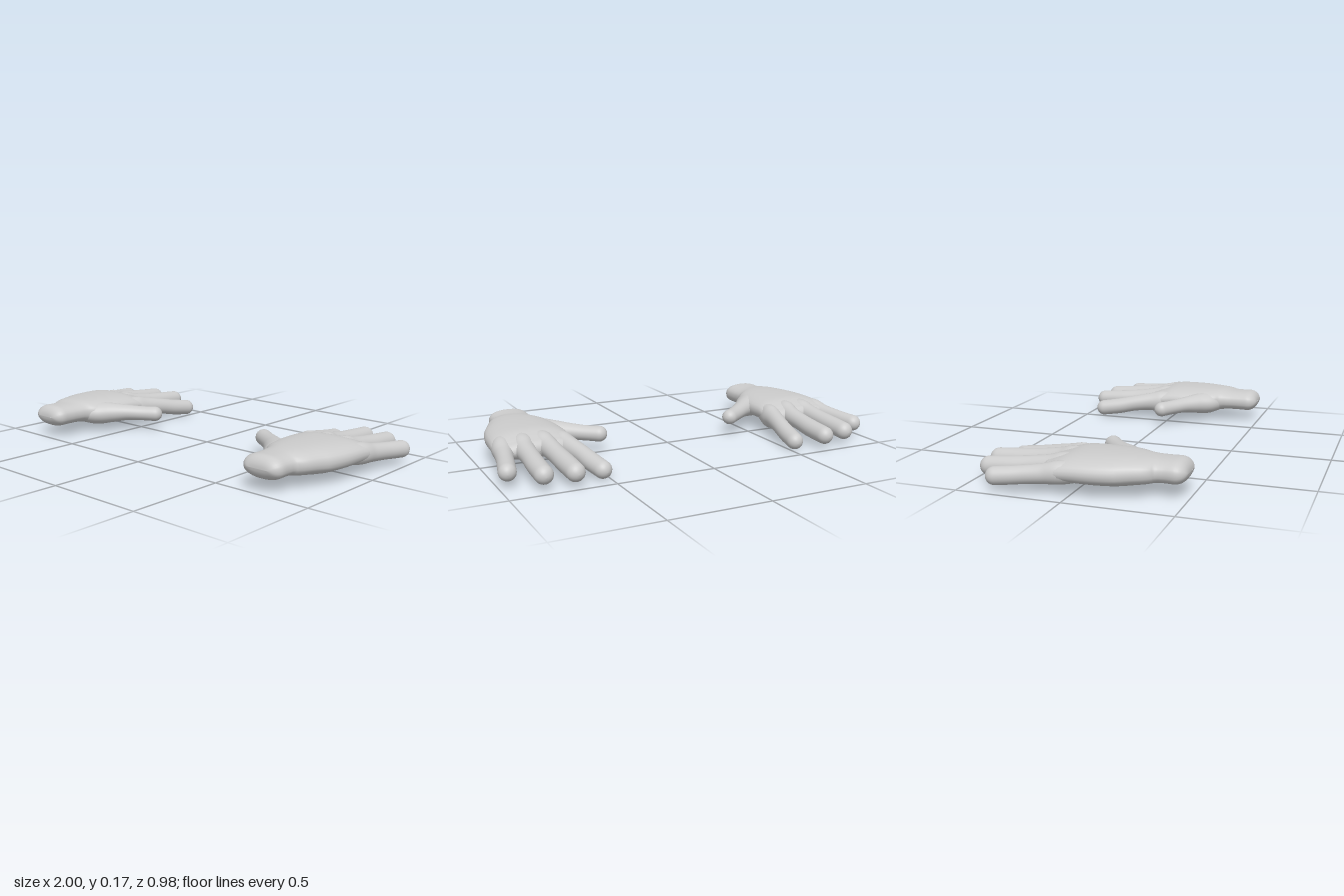
import * as THREE from 'three';

const SIDES = 32, STEPS = 40, CAP = 8;

// Smooth tube through sections [x, y, z, halfWidth, halfHeight] with rounded ends.
// power 2 gives ellipses, higher values squarer sections; mirror = -1 flips x.
function loft(sections, power, mirror) {
  const path = new THREE.CatmullRomCurve3(
    sections.map(([x, y, z]) => new THREE.Vector3(x * mirror, y, z)), false, 'catmullrom');
  const size = new THREE.CatmullRomCurve3(
    sections.map(([, , , w, h]) => new THREE.Vector3(w, h, 0)), false, 'catmullrom');
  const up = new THREE.Vector3(0, 1, 0);
  const positions = [], index = [];
  const bend = (v) => Math.sign(v) * Math.abs(v) ** (2 / power);

  // One ring: slide moves it along the path, inset shrinks it
  function ring(t, slide = 0, inset = 0) {
    const tangent = path.getTangent(t);
    const side = up.clone().cross(tangent).normalize();
    const top = tangent.clone().cross(side);
    const centre = path.getPoint(t).addScaledVector(tangent, slide);
    const s = size.getPoint(t);
    for (let j = 0; j < SIDES; j++) {
      const a = (j / SIDES) * Math.PI * 2;
      const p = centre.clone()
        .addScaledVector(side, bend(Math.cos(a)) * (s.x - inset))
        .addScaledVector(top, bend(Math.sin(a)) * (s.y - inset));
      positions.push(p.x, p.y, p.z);
    }
  }

  // Quarter-round cap, body, quarter-round cap
  function capRing(t, k, direction) {
    const s = size.getPoint(t), r = Math.min(s.x, s.y) * 0.999;
    const a = (k / CAP) * Math.PI / 2;
    ring(t, direction * r * Math.sin(a), r * (1 - Math.cos(a)));
  }
  for (let k = CAP; k > 0; k--) capRing(0, k, -1);
  for (let i = 0; i <= STEPS; i++) ring(i / STEPS);
  for (let k = 1; k <= CAP; k++) capRing(1, k, 1);

  const rings = positions.length / 3 / SIDES;
  for (let i = 0; i < rings - 1; i++) {
    for (let j = 0; j < SIDES; j++) {
      const n = (j + 1) % SIDES;
      const a = i * SIDES + j, b = i * SIDES + n, c = a + SIDES, d = b + SIDES;
      index.push(a, b, d, a, d, c);
    }
  }
  const geometry = new THREE.BufferGeometry();
  geometry.setAttribute('position', new THREE.Float32BufferAttribute(positions, 3));
  geometry.setIndex(index);
  geometry.computeVertexNormals();
  return geometry;
}

// Wrist to knuckles
const palm = [
  [0.727, 0.11, 0.435, 0.105, 0.055],
  [0.727, 0.11, 0.385, 0.105, 0.054],
  [0.73, 0.11, 0.34, 0.112, 0.055],
  [0.74, 0.11, 0.28, 0.143, 0.062],
  [0.742, 0.107, 0.2, 0.176, 0.068],
  [0.748, 0.107, 0.1, 0.194, 0.068],
  [0.752, 0.107, 0, 0.199, 0.064],
  [0.752, 0.102, -0.06, 0.2, 0.055],
  [0.752, 0.097, -0.1, 0.19, 0.046],
];

// Each finger starts inside the palm and swells at its knuckle
const fingers = {
  indexFinger: [
    [0.62, 0.105, 0.04, 0.045, 0.045], [0.603, 0.09, -0.06, 0.053, 0.062],
    [0.587, 0.087, -0.13, 0.047, 0.05], [0.565, 0.075, -0.22, 0.043, 0.044],
    [0.547, 0.057, -0.31, 0.045, 0.044], [0.53, 0.044, -0.4, 0.043, 0.043],
  ],
  middleFinger: [
    [0.71, 0.115, 0.04, 0.05, 0.045], [0.702, 0.104, -0.06, 0.058, 0.06],
    [0.692, 0.098, -0.13, 0.049, 0.05], [0.687, 0.088, -0.22, 0.045, 0.045],
    [0.682, 0.076, -0.33, 0.047, 0.046], [0.68, 0.068, -0.449, 0.045, 0.045],
  ],
  ringFinger: [
    [0.79, 0.115, 0.04, 0.05, 0.045], [0.803, 0.105, -0.06, 0.058, 0.058],
    [0.81, 0.098, -0.13, 0.049, 0.049], [0.813, 0.09, -0.22, 0.045, 0.044],
    [0.818, 0.079, -0.32, 0.046, 0.045], [0.82, 0.07, -0.425, 0.045, 0.045],
  ],
  littleFinger: [
    [0.87, 0.105, 0.05, 0.045, 0.045], [0.899, 0.1, -0.04, 0.051, 0.053],
    [0.912, 0.09, -0.12, 0.045, 0.045], [0.928, 0.083, -0.2, 0.041, 0.042],
    [0.943, 0.077, -0.27, 0.042, 0.042], [0.956, 0.073, -0.328, 0.042, 0.042],
  ],
  thumb: [
    [0.71, 0.1, 0.26, 0.07, 0.05], [0.635, 0.097, 0.2, 0.082, 0.061],
    [0.57, 0.099, 0.15, 0.06, 0.053], [0.51, 0.1, 0.1, 0.047, 0.043],
    [0.445, 0.097, 0.05, 0.042, 0.039], [0.383, 0.095, 0.005, 0.041, 0.04],
  ],
};

export function createModel() {
  const model = new THREE.Group();
  const material = new THREE.MeshStandardMaterial({ color: 0xcccccc });

  for (const [name, mirror] of [['leftHand', 1], ['rightHand', -1]]) {
    const hand = new THREE.Group();
    hand.name = name;
    const add = (part, geometry) => {
      const mesh = new THREE.Mesh(geometry, material);
      mesh.name = part;
      hand.add(mesh);
    };
    add('palm', loft(palm, 2.4, mirror));
    for (const [part, sections] of Object.entries(fingers)) add(part, loft(sections, 2, mirror));
    model.add(hand);
  }
  return model;
}
